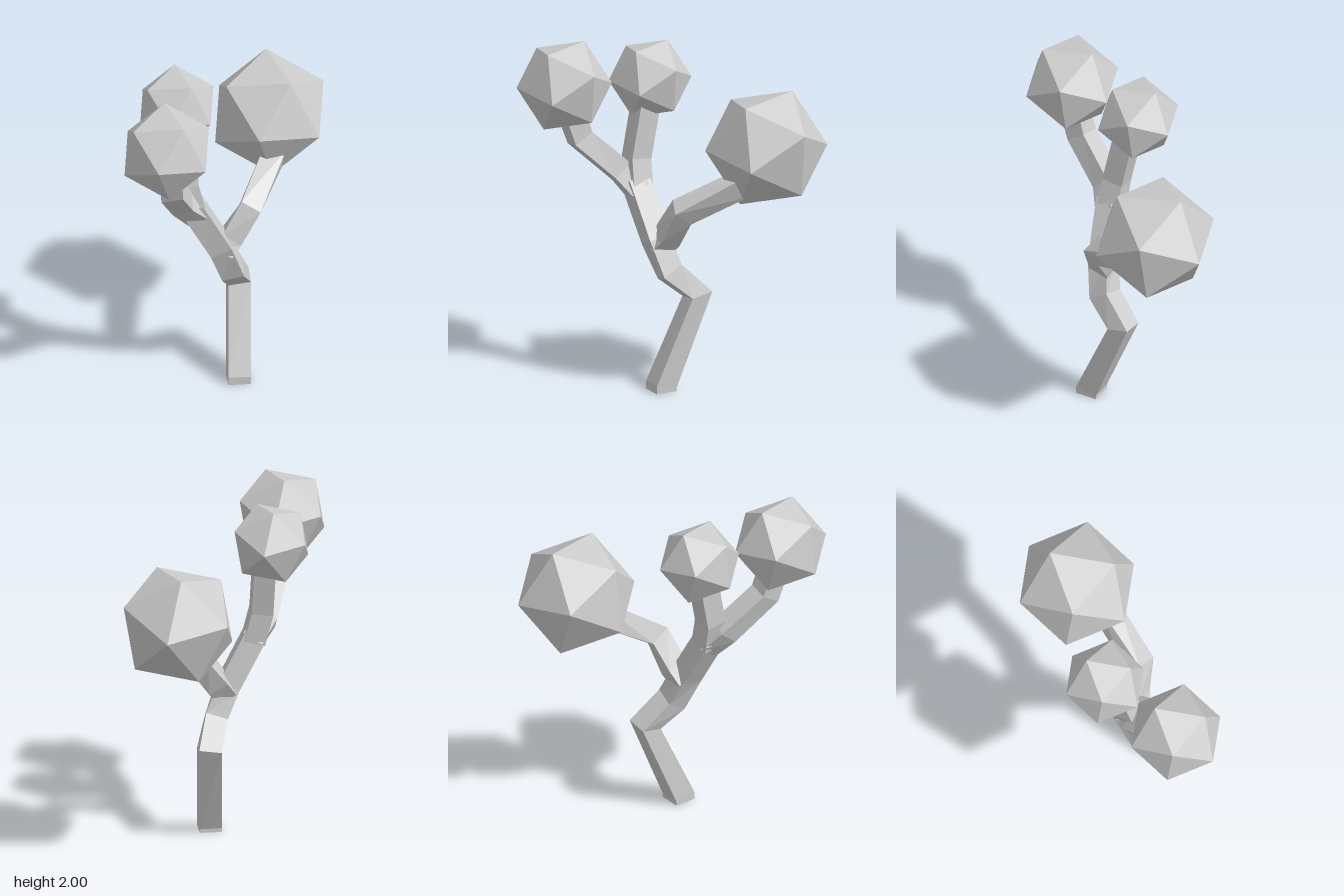
import * as THREE from 'three';

const V = (p) => new THREE.Vector3(...p);

// Square-section limb: one ring per point, set square to the averaged direction
function limb(points, width) {
  const pts = points.map(V), h = width / 2, pos = [], rings = [];
  pts.forEach((p, i) => {
    const t = new THREE.Vector3();
    if (i > 0) t.add(p.clone().sub(pts[i - 1]).normalize());
    if (i < pts.length - 1) t.add(pts[i + 1].clone().sub(p).normalize());
    t.normalize();
    const u = new THREE.Vector3(1, 0, 0).addScaledVector(t, -t.x).normalize();
    const w = t.clone().cross(u);
    rings.push([[-1, -1], [1, -1], [1, 1], [-1, 1]].map(([a, b]) =>
      p.clone().addScaledVector(u, a * h).addScaledVector(w, b * h)));
  });
  const quad = (a, b, c, d) => [a, b, c, a, c, d].forEach((v) => pos.push(v.x, v.y, v.z));
  for (let i = 0; i < rings.length - 1; i++) {
    for (let k = 0; k < 4; k++) {
      const n = (k + 1) % 4;
      quad(rings[i][k], rings[i][n], rings[i + 1][n], rings[i + 1][k]);
    }
  }
  quad(...[...rings[0]].reverse());
  quad(...rings[rings.length - 1]);
  const g = new THREE.BufferGeometry();
  g.setAttribute('position', new THREE.Float32BufferAttribute(pos, 3));
  g.computeVertexNormals();
  return g;
}

export function createModel() {
  const group = new THREE.Group();
  const grey = new THREE.MeshStandardMaterial({ color: 0xcccccc });
  grey.name = 'light grey';
  const add = (name, geometry) => {
    const mesh = new THREE.Mesh(geometry, grey);
    mesh.name = name;
    group.add(mesh);
    return mesh;
  };

  // Bent trunk, up to the upper fork
  add('trunk', limb([
    [0.072, 0, 0.12], [0.072, 0.035, 0.12], [0.098, 0.55, -0.1],
    [0.043, 0.69, 0.05], [-0.03, 0.87, 0.1], [-0.2, 1.18, 0.14],
  ], 0.13));

  // Three branches, each ending inside its crown
  add('leftBranch', limb([
    [-0.02, 0.83, 0.09], [0.035, 0.9, 0.06], [0.15, 1.07, 0.03], [0.33, 1.25, -0.28],
  ], 0.125));
  add('frontBranch', limb([
    [-0.17, 1.12, 0.13], [-0.26, 1.23, 0.2], [-0.35, 1.44, 0.42], [-0.365, 1.62, 0.48],
  ], 0.125));
  add('upperBranch', limb([
    [-0.18, 1.13, 0.13], [-0.225, 1.31, 0.12], [-0.235, 1.65, 0.05],
  ], 0.125));

  // Faceted crowns sharing one tilt
  const x = V([-0.1, 0.03, -0.365]).normalize();
  const y = V([0.1, 0.6, 0.015]);
  y.addScaledVector(x, -y.dot(x)).normalize();
  const tilt = new THREE.Matrix4().makeBasis(x, y, x.clone().cross(y));
  [
    ['leftCrown', 0.358, [0.315, 1.435, -0.43]],
    ['frontCrown', 0.279, [-0.386, 1.755, 0.503]],
    ['upperCrown', 0.243, [-0.27, 1.755, 0.007]],
  ].forEach(([name, radius, at]) => {
    const crown = add(name, new THREE.IcosahedronGeometry(radius, 0).applyMatrix4(tilt));
    crown.position.set(...at);
  });

  return group;
}
